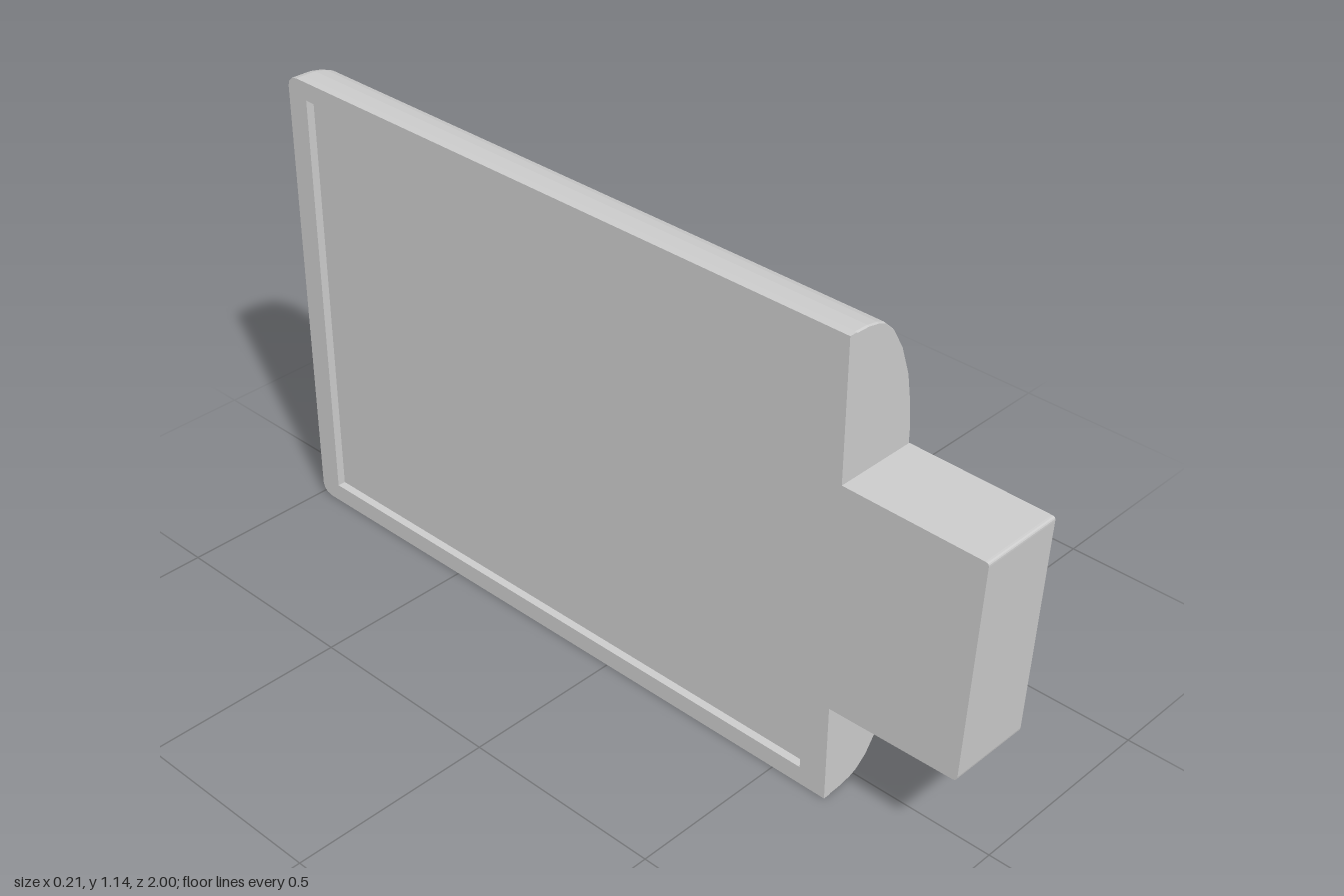
import * as THREE from 'three';

const FLAT = -0.105, FLOOR = -0.085, OUT = 0.103, H = 1.14, FRONT = 0.645, BACK = -1;

// Closed D-shaped half profile, counter-clockwise seen from the front
const LOWER = [[FLOOR, 0], [-0.05, 0.002], [-0.02, 0.008], [0, 0.016], [0.03, 0.04], [0.06, 0.083],
  [0.08, 0.135], [0.095, 0.19], [OUT, 0.255]];
const UPPER = [[OUT, 0.84], [0.098, 0.9], [0.085, 0.975], [0.06, 1.046], [0.03, 1.097], [0, 1.125],
  [-0.02, 1.133], [-0.05, 1.139], [FLOOR, H]];
const PROFILE = [...LOWER, ...UPPER];

// Body lengthwise stations: z, inset in x, inset in y (rounded back rim)
const STATIONS = [[BACK, 0.016, 0.026], [-0.996, 0.008, 0.013], [-0.986, 0.003, 0.004],
  [-0.97, 0, 0], [FRONT - 0.005, 0, 0], [FRONT, 0.002, 0.002]];

function bodyGeometry() {
  const rings = STATIONS.map(([z, ix, iy]) => PROFILE.map(([x, y]) => [
    FLOOR + (x - FLOOR) * (1 - ix / (OUT - FLOOR)),
    H / 2 + (y - H / 2) * (1 - 2 * iy / H), z]));
  const pos = [];
  const tri = (a, b, c) => pos.push(...a, ...b, ...c);
  const n = PROFILE.length;
  for (let k = 0; k < rings.length - 1; k++) {
    for (let i = 0; i < n; i++) {
      const j = (i + 1) % n;
      tri(rings[k][i], rings[k][j], rings[k + 1][j]);
      tri(rings[k][i], rings[k + 1][j], rings[k + 1][i]);
    }
  }
  // End caps
  const first = rings[0], last = rings[rings.length - 1];
  for (let i = 1; i < n - 1; i++) {
    tri(first[0], first[i + 1], first[i]);
    tri(last[0], last[i], last[i + 1]);
  }
  const g = new THREE.BufferGeometry();
  g.setAttribute('position', new THREE.Float32BufferAttribute(pos, 3));
  g.computeVertexNormals();
  return g;
}

// Extrude an outline given in (z, y) along x, from x0 to x1
function sideExtrude(shape, x0, x1) {
  return new THREE.ExtrudeGeometry(shape, { depth: x1 - x0, bevelEnabled: false, curveSegments: 4 })
    .rotateY(-Math.PI / 2).translate(x1, 0, 0);
}

const outline = pts => pts.map(([z, y]) => new THREE.Vector2(z, y));

export function createModel() {
  const group = new THREE.Group();
  const material = new THREE.MeshStandardMaterial({ color: 0xcccccc, flatShading: true });
  const add = (name, geometry) => {
    const mesh = new THREE.Mesh(geometry, material);
    mesh.name = name;
    group.add(mesh);
  };

  // Rounded body; its flat side is the floor of the recess
  add('body', bodyGeometry());

  // Raised rim around the recessed panel
  const rim = new THREE.Shape(outline([
    [BACK, 0.026], [-0.996, 0.013], [-0.986, 0.004], [-0.97, 0], [FRONT, 0],
    [FRONT, H], [-0.97, H], [-0.986, H - 0.004], [-0.996, H - 0.013], [BACK, H - 0.026]]));
  const z0 = BACK + 0.06, z1 = FRONT - 0.07, m = 0.045;
  rim.holes.push(new THREE.Path(outline([[z0, m], [z0, H - m], [z1, H - m], [z1, m]])));
  add('panelRim', sideExtrude(rim, FLAT, FLOOR));

  // Connector tab with a slightly slanted end and softened corners
  const tab = new THREE.Shape();
  tab.moveTo(FRONT, 0.246);
  tab.lineTo(0.962, 0.251);
  tab.quadraticCurveTo(0.974, 0.251, 0.975, 0.263);
  tab.lineTo(0.999, 0.79);
  tab.quadraticCurveTo(1, 0.799, 0.99, 0.799);
  tab.lineTo(FRONT, 0.804);
  tab.closePath();
  add('connectorTab', sideExtrude(tab, FLAT, OUT));

  return group;
}
